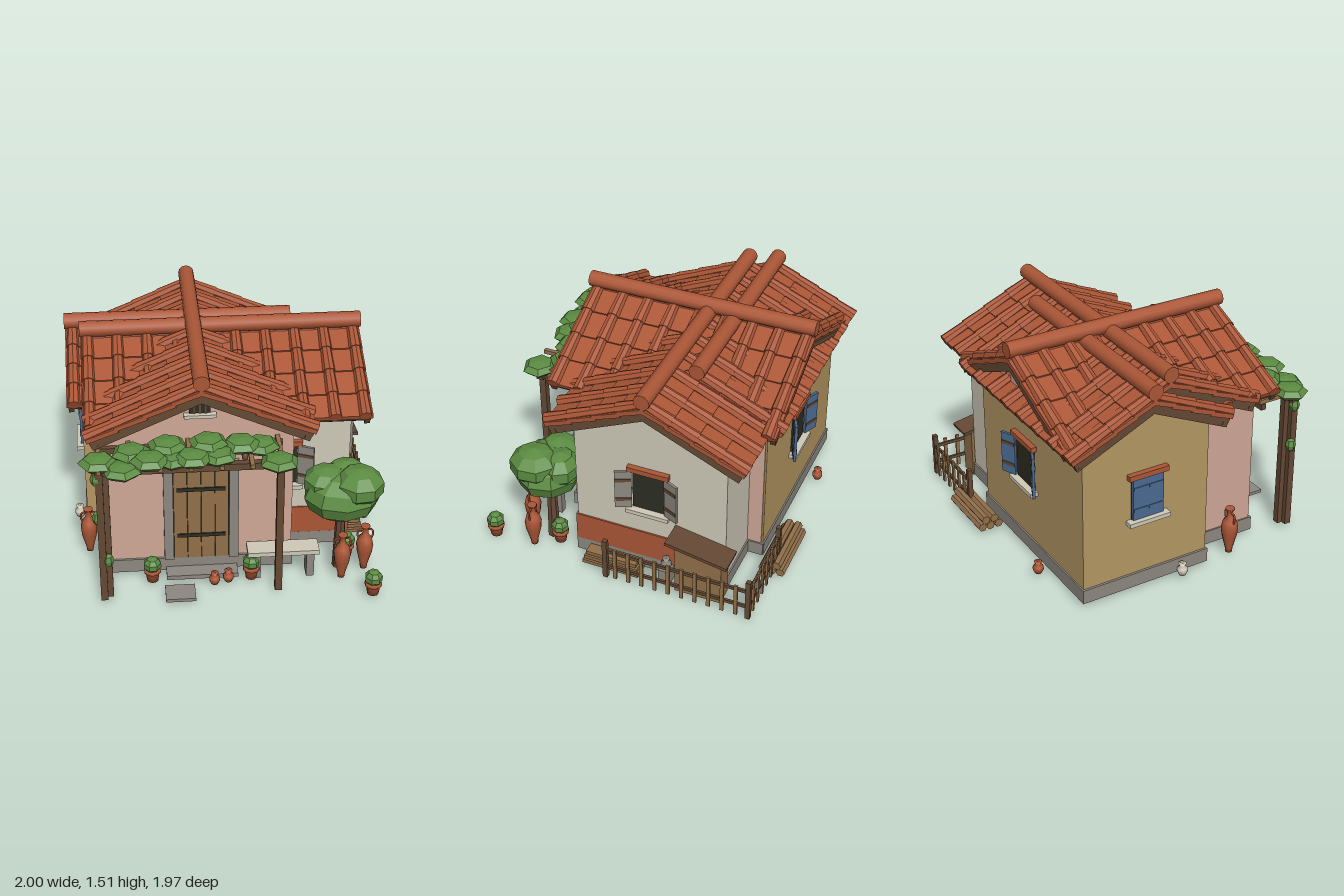
import * as THREE from 'three';

const mat = (name, color) => { const m = new THREE.MeshStandardMaterial({ color }); m.name = name; return m; };
const tile = mat('terracotta', 0xac5737), wood = mat('dark wood', 0x654934), pink = mat('pink plaster', 0xd0a898),
  cream = mat('cream plaster', 0xcfcab8), ochre = mat('ochre plaster', 0xb59864), stone = mat('grey stone', 0x8d8880),
  leaf = mat('leaf green', 0x5c8c42), plank = mat('light wood', 0x92704a), dark = mat('dark opening', 0x2d2e22),
  blue = mat('blue paint', 0x4a6a92);

function add(parent, name, geo, material, x = 0, y = 0, z = 0) {
  const m = new THREE.Mesh(geo, material);
  m.name = name;
  m.position.set(x, y, z);
  parent.add(m);
  return m;
}
const box = (p, name, m, w, h, d, x, y, z) => add(p, name, new THREE.BoxGeometry(w, h, d), m, x, y, z);
function group(parent, name, x = 0, y = 0, z = 0, ry = 0) {
  const g = new THREE.Group();
  g.name = name;
  g.position.set(x, y, z);
  g.rotation.y = ry;
  parent.add(g);
  return g;
}
// faceted geometry
function flat(geo) {
  const g = geo.index ? geo.toNonIndexed() : geo;
  g.computeVertexNormals();
  return g;
}
function blob(p, name, x, y, z, rx, ry, rz, turn = 0, seg = 6, rows = 4) {
  const geo = new THREE.SphereGeometry(1, seg, rows).rotateY(turn).scale(rx, ry, rz);
  return add(p, name, flat(geo), leaf, x, y, z);
}
const lathe = (pts, seg = 10) => new THREE.LatheGeometry(pts.map(([r, y]) => new THREE.Vector2(r, y)), seg);

// gabled block, gable ends facing local z
function gabled(p, name, m, half, slope, peak, z0, z1) {
  const e = peak - half * slope, s = new THREE.Shape();
  s.moveTo(-half, 0.1); s.lineTo(half, 0.1); s.lineTo(half, e); s.lineTo(0, peak); s.lineTo(-half, e);
  return add(p, name, new THREE.ExtrudeGeometry(s, { depth: z1 - z0, bevelEnabled: false }), m, 0, 0, z0);
}

// gabled roof with ridge along local z; ribs lists the barrel tile rows
function roof(p, half, slope, top, z0, z1, ribs) {
  const a = Math.atan(slope), L = half / Math.cos(a), len = z1 - z0, mid = (z0 + z1) / 2, n = 4, c = L / n;
  for (const s of [-1, 1]) {
    const g = group(p, 'roofSlope', 0, top, 0);
    g.rotation.z = -s * a;
    box(g, 'soffit', wood, L, 0.025, len - 0.02, s * L / 2, -0.04, mid);
    box(g, 'eaveBoard', wood, 0.025, 0.06, len - 0.02, s * (L - 0.03), -0.05, mid);
    for (const z of [z0 + 0.03, z1 - 0.03]) box(g, 'bargeBoard', wood, L, 0.075, 0.035, s * L / 2, -0.05, z);
    for (let i = 0; i < n; i++) {
      const x = s * (i + 0.5) * c;
      box(g, 'tileCourse', tile, c + 0.02, 0.03, len, x, -0.014, mid).rotation.z = s * 0.06;
      for (const z of ribs) {
        const geo = flat(new THREE.CylinderGeometry(0.034, 0.041, c + 0.025, 8)).rotateZ(s * Math.PI / 2);
        add(g, 'barrelTile', geo, tile, x, 0.006, z);
      }
    }
  }
  add(p, 'ridgeTile', new THREE.CylinderGeometry(0.052, 0.052, len + 0.01, 12).rotateX(Math.PI / 2), tile, 0, top + 0.05, mid);
}
const rows = (from, to, n) => Array.from({ length: n }, (_, i) => from + (to - from) * i / (n - 1));

// window facing local +z, shutters open or closed
function windowUnit(p, x, y, z, ry, paint, closed = false) {
  const g = group(p, 'window', x, y, z, ry);
  box(g, 'opening', dark, 0.22, 0.29, 0.012, 0, 0, 0.004);
  box(g, 'lintel', tile, 0.28, 0.035, 0.05, 0, 0.16, 0.012);
  box(g, 'sill', cream, 0.29, 0.028, 0.08, 0, -0.16, 0.015);
  for (const s of [-1, 1]) {
    const leafG = group(g, 'shutter', s * 0.11, 0, 0.018, closed ? 0 : -s * 0.42);
    const cx = (closed ? -s : s) * 0.056;
    box(leafG, 'shutterLeaf', paint, 0.108, 0.285, 0.018, cx, 0, 0);
    for (const by of [-0.075, 0.075]) box(leafG, 'shutterBatten', closed ? paint : wood, 0.1, 0.022, 0.028, cx, by, 0);
  }
}

function amphora(p, x, z, k = 1) {
  const g = group(p, 'amphora', x, 0.022, z);
  g.scale.setScalar(k);
  add(g, 'amphoraBody', lathe([[0, 0], [0.022, 0], [0.025, 0.03], [0.05, 0.13], [0.056, 0.19], [0.045, 0.235], [0.02, 0.265],
    [0.019, 0.305], [0.031, 0.32], [0.03, 0.33], [0, 0.325]]), tile);
  for (const s of [-1, 1]) {
    const path = new THREE.CatmullRomCurve3([[0.018, 0.3], [0.045, 0.295], [0.05, 0.26], [0.04, 0.23]].map(([a, b]) => new THREE.Vector3(s * a, b, 0)));
    add(g, 'amphoraHandle', new THREE.TubeGeometry(path, 8, 0.007, 5), tile);
  }
}
function jug(p, x, z, m = tile, y = 0.022) {
  add(p, 'smallJug', lathe([[0, 0], [0.022, 0], [0.036, 0.03], [0.034, 0.05], [0.017, 0.066], [0.026, 0.085], [0, 0.08]]), m, x, y, z);
}
function pottedBush(p, x, z) {
  const g = group(p, 'pottedBush', x, 0.022, z);
  add(g, 'flowerPot', lathe([[0, 0], [0.037, 0], [0.046, 0.065], [0.055, 0.065], [0.055, 0.088], [0, 0.086]]), tile);
  blob(g, 'bush', 0, 0.12, 0, 0.06, 0.055, 0.06, 0.3, 7, 5);
}

export function createModel() {
  const root = new THREE.Group();
  root.name = 'cottage';
  const Q = Math.PI / 2;

  // three intersecting wings: main runs along z, the others along x
  const main = group(root, 'mainBlock', -0.175, 0, 0);
  gabled(main, 'pinkWalls', pink, 0.58, 0.45, 1.36, -0.775, 0.555);
  roof(main, 0.7, 0.45, 1.41, -0.88, 0.66, rows(-0.825, 0.61, 9));
  const right = group(root, 'rightWing', 0, 0, -0.17, Q);
  gabled(right, 'creamWalls', cream, 0.51, 0.45, 1.325, 0, 0.8);
  roof(right, 0.65, 0.45, 1.375, -0.9, 0.91, rows(-0.855, 0.862, 10));
  const left = group(root, 'leftWing', 0, 0, -0.34, Q);
  gabled(left, 'ochreWalls', ochre, 0.445, 0.46, 1.3, -0.91, 0.395);
  roof(left, 0.555, 0.46, 1.35, -1, 0.47, rows(-0.952, 0.422, 8));

  // foundations and painted dado
  box(root, 'mainFoundation', stone, 1.18, 0.095, 1.36, -0.175, 0.0725, -0.11);
  box(root, 'rightFoundation', stone, 0.5, 0.095, 1.04, 0.56, 0.0725, -0.17);
  box(root, 'leftFoundation', stone, 1.33, 0.095, 0.91, -0.26, 0.0725, -0.34);
  box(root, 'frontDado', tile, 0.41, 0.2, 0.015, 0.605, 0.22, 0.342);
  box(root, 'sideDado', tile, 0.015, 0.2, 1.03, 0.803, 0.22, -0.165);

  // door
  const door = group(root, 'door', -0.178, 0, 0.555);
  for (const s of [-1, 1]) box(door, 'doorJamb', stone, 0.06, 0.68, 0.06, s * 0.208, 0.46, 0.005);
  box(door, 'doorLintel', stone, 0.48, 0.055, 0.07, 0, 0.828, 0.005);
  box(door, 'doorGap', dark, 0.356, 0.68, 0.012, 0, 0.46, 0.004);
  for (let i = 0; i < 4; i++) box(door, 'doorPlank', plank, 0.085, 0.675, 0.02, -0.132 + i * 0.088, 0.46, 0.01);
  for (const y of [0.3, 0.65]) box(door, 'doorStrap', dark, 0.31, 0.025, 0.012, 0, y, 0.022);
  box(root, 'doorStep', stone, 0.46, 0.03, 0.11, -0.178, 0.037, 0.62);
  box(root, 'pavingSlab', stone, 0.19, 0.022, 0.15, -0.33, 0.033, 0.83);

  // gable vent
  box(root, 'gableVent', dark, 0.13, 0.12, 0.012, -0.18, 1.26, 0.558);
  for (const x of [-0.215, -0.18, -0.145]) box(root, 'ventBar', wood, 0.01, 0.12, 0.012, x, 1.26, 0.565);
  box(root, 'ventSill', cream, 0.2, 0.022, 0.05, -0.18, 1.19, 0.57);

  windowUnit(root, 0.8, 0.665, -0.165, Q, stone);
  windowUnit(root, 0.35, 0.665, 0.34, 0, stone);
  windowUnit(root, -0.2, 0.665, -0.785, Math.PI, blue);
  windowUnit(root, -0.91, 0.665, -0.34, -Q, blue, true);

  // pergola with vine
  const pergola = group(root, 'pergola');
  for (const [x, z] of [[-0.81, 0.825], [-0.775, 0.79], [0.295, 0.81]]) box(pergola, 'pergolaPost', wood, 0.045, 0.95, 0.045, x, 0.495, z);
  box(pergola, 'pergolaBeam', wood, 1.2, 0.045, 0.045, -0.25, 0.97, 0.81);
  box(pergola, 'wallBeam', wood, 1.16, 0.04, 0.035, -0.25, 0.97, 0.575);
  for (const x of rows(-0.81, 0.3, 7)) box(pergola, 'pergolaRafter', plank, 0.028, 0.028, 0.34, x, 1.005, 0.72);
  for (const x of [-0.39, -0.15, 0.09]) for (const z of [0.61, 0.65]) {
    box(pergola, 'hangingString', wood, 0.007, 0.06, 0.007, x, 0.965, z);
    add(pergola, 'driedGourd', new THREE.SphereGeometry(0.02, 8, 6).scale(1, 1.45, 1), wood, x, 0.925, z);
  }
  const vine = [[-0.81, 1.02, 0.79], [-0.67, 1.0, 0.86], [-0.61, 1.04, 0.73], [-0.5, 1.05, 0.84], [-0.39, 1.07, 0.71], [-0.36, 1.03, 0.8],
    [-0.24, 1.05, 0.83], [-0.14, 1.08, 0.71], [-0.09, 1.04, 0.8], [0.06, 1.06, 0.71], [0.18, 1.03, 0.69], [0.28, 1.0, 0.84]];
  vine.forEach(([x, y, z], i) => blob(pergola, 'vineClump', x, y, z, 0.125, 0.045, 0.115, i * 0.7));
  for (const [x, y, z] of [[-0.83, 0.92, 0.82], [-0.83, 0.63, 0.81], [-0.775, 0.32, 0.83]]) blob(pergola, 'vineLeaf', x, y, z, 0.036, 0.048, 0.036);

  // tree
  const tree = group(root, 'tree', 0.72, 0, 0.57);
  add(tree, 'treeTrunk', flat(new THREE.CylinderGeometry(0.03, 0.042, 0.46, 7)), wood, 0, 0.23, 0);
  blob(tree, 'treeCrown', 0, 0.565, 0, 0.25, 0.17, 0.22, 0.2, 9, 6);
  blob(tree, 'treeCrown', 0.1, 0.66, 0.05, 0.165, 0.12, 0.17, 0.5, 8, 5);
  blob(tree, 'treeCrown', -0.1, 0.64, -0.03, 0.15, 0.11, 0.15, 0.9, 8, 5);
  blob(tree, 'treeCrown', 0.04, 0.63, -0.1, 0.15, 0.12, 0.13, 0.1, 8, 5);

  // pots and jars
  amphora(root, -0.9, 0.3);
  amphora(root, 0.715, 0.72);
  amphora(root, 0.875, 0.635);
  for (const [x, z] of [[-0.5, 0.66], [0.135, 0.68], [0.89, 0.91], [0.78, 0.49]]) pottedBush(root, x, z);
  for (const [x, z] of [[-0.105, 0.73], [-0.015, 0.71], [-0.48, -0.87]]) jug(root, x, z);
  jug(root, -0.965, -0.1, cream);
  jug(root, 0.86, -0.3, stone, 0.12);
  box(root, 'jarBlock', stone, 0.08, 0.1, 0.08, 0.86, 0.072, -0.3);

  // bench
  box(root, 'benchSeat', cream, 0.46, 0.032, 0.13, 0.34, 0.215, 0.65);
  for (const x of [0.17, 0.515]) box(root, 'benchLeg', stone, 0.05, 0.18, 0.1, x, 0.112, 0.65);

  // fence: side run and back run
  for (const [x, z] of [[0.975, 0.07], [0.975, -0.9], [0.43, -0.9]]) box(root, 'fencePost', wood, 0.032, 0.3, 0.032, x, 0.17, z);
  for (const y of [0.11, 0.235]) {
    box(root, 'sideRail', wood, 0.016, 0.022, 0.97, 0.975, y, -0.415);
    box(root, 'backRail', wood, 0.545, 0.022, 0.016, 0.7, y, -0.9);
  }
  for (const z of rows(0, -0.82, 10)) box(root, 'picket', plank, 0.014, 0.24, 0.024, 0.985, 0.15, z);
  for (const x of rows(0.5, 0.91, 6)) box(root, 'picket', plank, 0.024, 0.24, 0.014, x, 0.15, -0.91);

  // coop with sloping lid
  box(root, 'coop', plank, 0.13, 0.35, 0.31, 0.868, 0.2, -0.545);
  box(root, 'coopLid', wood, 0.18, 0.022, 0.42, 0.89, 0.4, -0.545).rotation.x = -0.18;

  // stacked boards and logs
  for (let i = 0; i < 3; i++) box(root, 'stackedBoard', plank, 0.11 - i * 0.015, 0.025, 0.39 - i * 0.02, 0.875, 0.042 + i * 0.033, 0.065);
  for (const [y, z] of [[0.052, -0.845], [0.052, -0.905], [0.052, -0.962], [0.1, -0.875], [0.1, -0.935]])
    add(root, 'log', flat(new THREE.CylinderGeometry(0.03, 0.03, 0.435, 6)).rotateZ(Q), plank, 0.337, y, z);
  return root;
}
